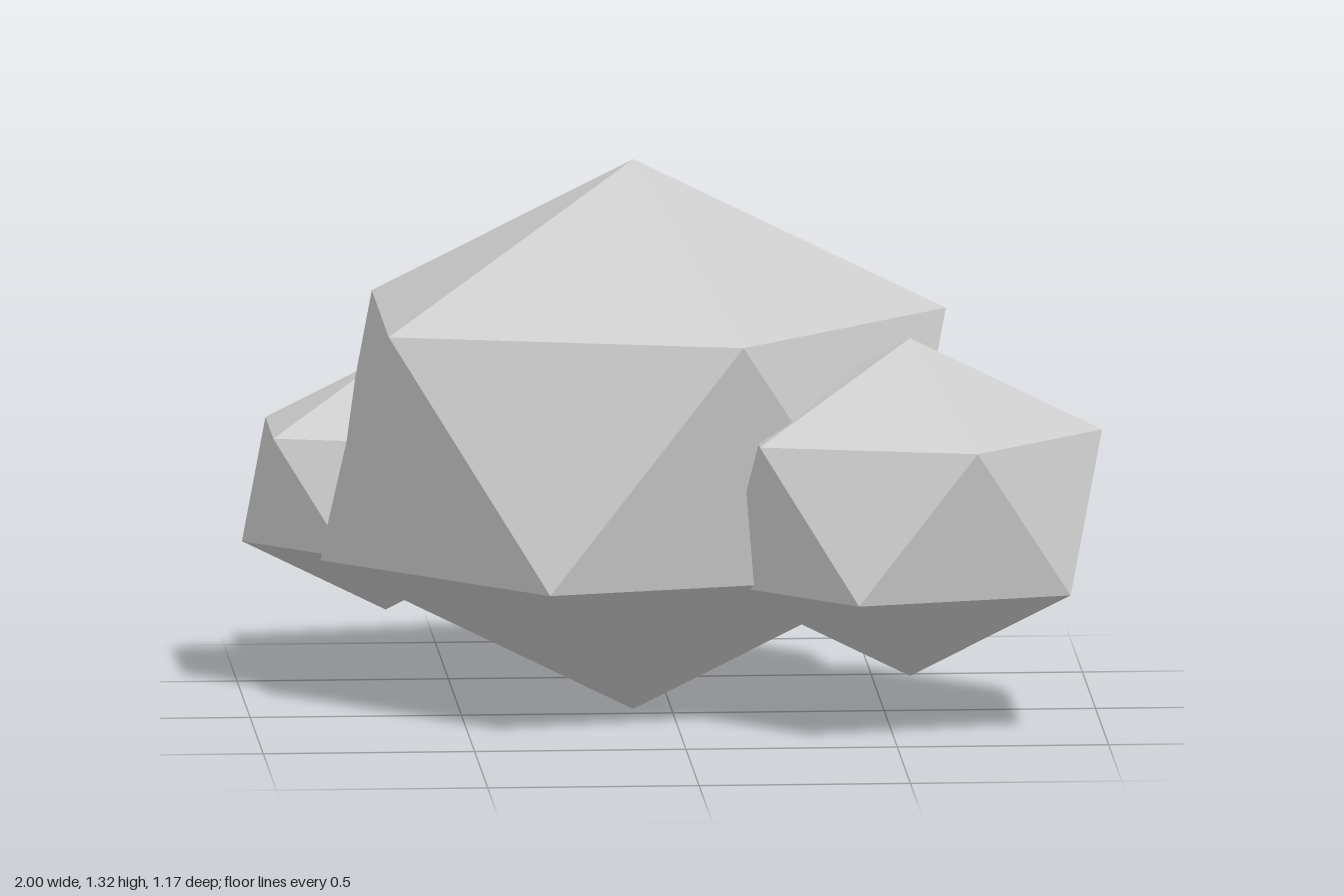
import * as THREE from 'three';

const material = new THREE.MeshStandardMaterial({ color: 0xcccccc, flatShading: true });

// A stretched icosahedron standing on one corner, with an upper-ring corner towards +x.
function boulder(name, center, radii) {
  const geometry = new THREE.IcosahedronGeometry(1, 0);
  geometry.rotateZ(-Math.atan(2 / (1 + Math.sqrt(5))));
  geometry.scale(...radii);
  const mesh = new THREE.Mesh(geometry, material);
  mesh.name = name;
  mesh.position.set(...center);
  return mesh;
}

export function createModel() {
  const group = new THREE.Group();
  group.name = 'rockCluster';
  group.add(
    boulder('mainRock', [-0.09, 0.661, -0.06], [0.827, 0.659, 0.617]),
    boulder('frontLeftRock', [0.545, 0.535, 0.26], [0.508, 0.405, 0.38]),
    boulder('backRightRock', [-0.66, 0.505, -0.315], [0.38, 0.303, 0.285]),
  );
  return group;
}
